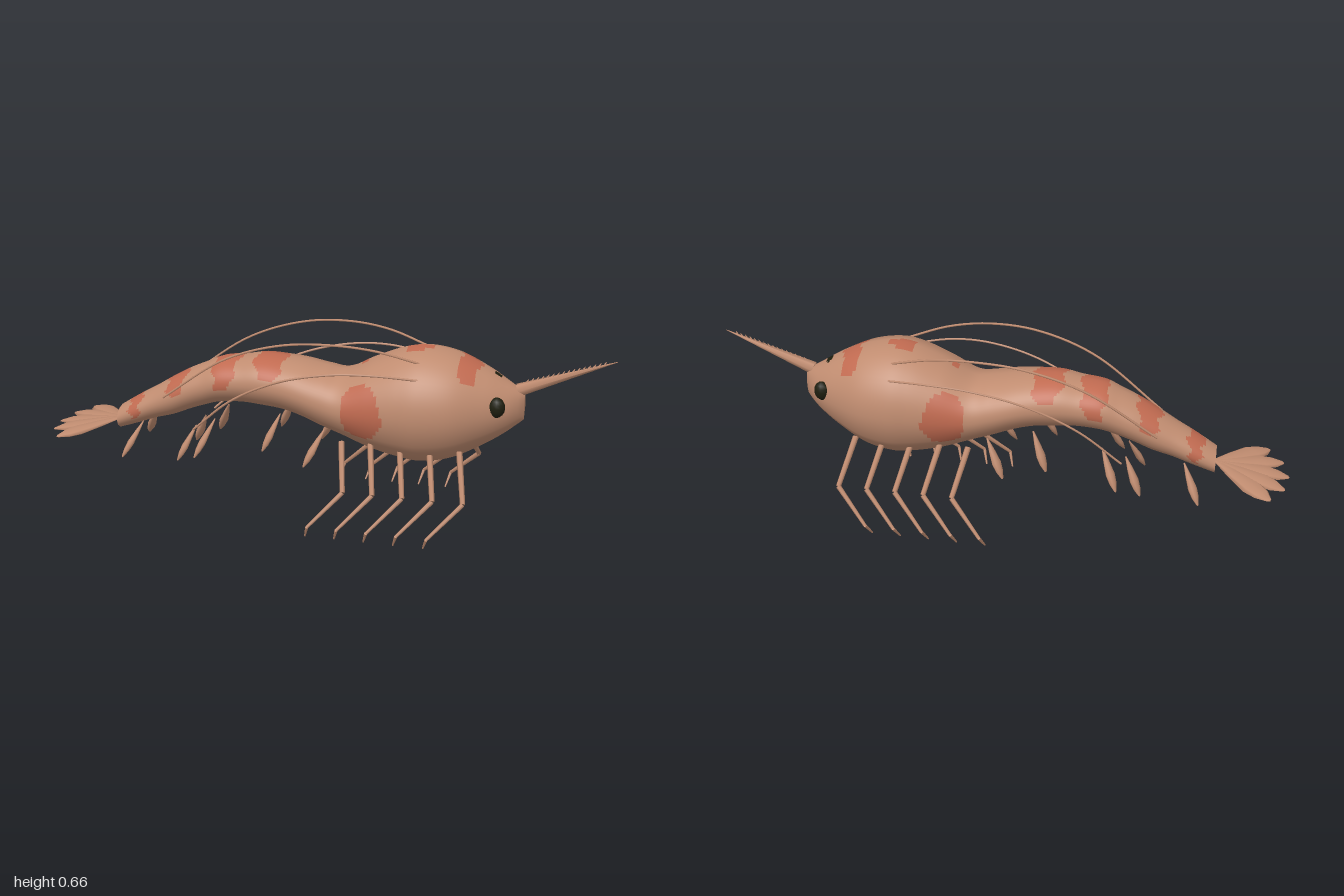
import * as THREE from 'three';

const V = (x, y, z) => new THREE.Vector3(x, y, z);
const mat = (name, color) => {
  const m = new THREE.MeshStandardMaterial({ color });
  m.name = name;
  return m;
};
const UP = V(0, 1, 0);

export function createModel() {
  const shell = mat('shell tan', 0xc08c70);
  const band = mat('band red', 0xc06a50);
  const dark = mat('eye black', 0x1e1e0f);
  const model = new THREE.Group();
  model.name = 'shrimp';

  const add = (name, geometry, material, parent = model) => {
    const m = new THREE.Mesh(geometry, material);
    m.name = name;
    parent.add(m);
    return m;
  };

  // Body stations: x, top, bottom, half width
  const stations = [
    [-0.745, 0.325, 0.24, 0.06], [-0.67, 0.372, 0.265, 0.07], [-0.6, 0.412, 0.29, 0.075],
    [-0.53, 0.455, 0.31, 0.085], [-0.47, 0.488, 0.335, 0.092], [-0.41, 0.515, 0.357, 0.097],
    [-0.35, 0.54, 0.375, 0.107], [-0.27, 0.55, 0.382, 0.113], [-0.2, 0.562, 0.378, 0.122],
    [-0.12, 0.558, 0.37, 0.13], [-0.05, 0.55, 0.352, 0.14], [0.03, 0.535, 0.32, 0.147],
    [0.1, 0.53, 0.295, 0.156], [0.2, 0.58, 0.255, 0.176], [0.3, 0.62, 0.23, 0.194],
    [0.38, 0.632, 0.222, 0.2], [0.48, 0.615, 0.243, 0.182], [0.58, 0.57, 0.295, 0.132],
    [0.65, 0.528, 0.342, 0.085], [0.69, 0.503, 0.375, 0.045], [0.71, 0.487, 0.393, 0.015],
  ];
  const track = k => new THREE.SplineCurve(stations.map(s => new THREE.Vector2(s[0], s[k])));
  const top = track(1), bottom = track(2), width = track(3);

  // Colour of the shell at a point; a is the angle down from the ridge in degrees
  const stripes = [[-0.70, -0.648, 115], [-0.55, -0.47, 85], [-0.37, -0.28, 105], [-0.22, -0.11, 72], [0.49, 0.56, 50]];
  const paint = (x, y, z, a) => {
    if (Math.hypot((x - 0.617) / 0.013, (z + 0.006) / 0.022) < 1 && y > 0.5) return 2;
    const wob = 0.008 * Math.sin(a * 0.11 + x * 9);
    for (const [x0, x1, reach] of stripes) {
      const taper = 0.25 * (x1 - x0) * (a / reach) ** 2;
      if (a < reach && x + wob > x0 + taper && x + wob < x1 - taper) return 1;
    }
    if (Math.hypot((x - 0.18) / 0.072, (y - 0.42) / 0.09) < 1 + wob * 8) return 1;
    if (x > 0.31 && x < 0.36 + 0.04 * Math.cos(z * 45) && Math.abs(z) < 0.035 + (x - 0.31) * 0.5) return 1;
    if (Math.hypot(x - 0.165, z) < 0.014 && a < 30) return 1;
    return 0;
  };

  // Body: rings of twelve flats with smooth normals
  const R = 180, N = 60, pos = [], flat = [];
  for (let i = 0; i <= R; i++) {
    const t = i / R, p = top.getPoint(t), b = bottom.getPoint(t).y, w = width.getPoint(t).y;
    for (let j = 0; j < N; j++) {
      const a = (j / N) * Math.PI * 2, step = Math.PI / 6;
      const k = Math.cos(step / 2) / Math.cos((a + 1e-9) % step - step / 2);
      const cy = (p.y + b) / 2, dy = Math.cos(a) * (p.y - b) / 2, dz = Math.sin(a) * w;
      pos.push(p.x, cy + dy, dz);
      flat.push(p.x, cy + dy * k, dz * k);
    }
  }
  pos.push(0.712, 0.44, 0);
  flat.push(0.712, 0.44, 0);
  const lists = [[], [], []];
  for (let i = 0; i < R; i++) {
    for (let j = 0; j < N; j++) {
      const a = i * N + j, b = i * N + (j + 1) % N, c = a + N, d = b + N;
      const mid = k => (flat[a * 3 + k] + flat[d * 3 + k]) / 2;
      const ang = (j + 0.5) / N * 360;
      lists[paint(mid(0), mid(1), mid(2), Math.min(ang, 360 - ang))].push(a, b, c, b, d, c);
    }
  }
  for (let j = 0; j < N; j++) lists[0].push(R * N + j, R * N + (j + 1) % N, pos.length / 3 - 1);
  const bodyGeo = new THREE.BufferGeometry();
  bodyGeo.setAttribute('position', new THREE.Float32BufferAttribute(pos, 3));
  bodyGeo.setIndex(lists.flat());
  bodyGeo.computeVertexNormals();
  bodyGeo.setAttribute('position', new THREE.Float32BufferAttribute(flat, 3));
  let start = 0;
  lists.forEach((l, k) => { bodyGeo.addGroup(start, l.length, k); start += l.length; });
  add('body', bodyGeo, [shell, band, dark]);

  const cap = add('bodyEnd', new THREE.CircleGeometry(1, 12), shell);
  cap.scale.set(0.06, 0.0425, 1);
  cap.rotation.y = -Math.PI / 2;
  cap.position.set(-0.745, 0.2825, 0);

  // Tapered rod between two points
  const rod = (name, a, b, r0, r1, sides, parent) => {
    const m = add(name, new THREE.CylinderGeometry(r1, r0, a.distanceTo(b), sides), shell, parent);
    m.position.copy(a).add(b).multiplyScalar(0.5);
    m.quaternion.setFromUnitVectors(UP, b.clone().sub(a).normalize());
    return m;
  };

  // Rostrum with a row of fine teeth
  const r0 = V(0.685, 0.495, 0), r1 = V(1, 0.617, 0);
  rod('rostrum', r0, r1, 0.023, 0.001, 6);
  for (let i = 0; i < 16; i++) {
    const t = 0.1 + i * 0.052;
    const p = r0.clone().lerp(r1, t).add(V(-0.003, 0.021 * (1 - t), 0));
    rod('rostrumTooth', p, p.clone().add(V(0.005, 0.01, 0)), 0.004, 0.0005, 4);
  }

  // Leaf-shaped blade from a to b, widest at the given fraction
  const blade = (name, a, b, halfWidth, thick, peak, side, parent) => {
    const len = a.distanceTo(b);
    const pts = [[0.15, 0], [0.65, peak * 0.5], [1, peak], [0.8, (1 + peak) / 2], [0.25, 0.98], [0, 1]];
    const g = new THREE.LatheGeometry(pts.map(([r, t]) => new THREE.Vector2(r, t * len)), 8);
    const yAxis = b.clone().sub(a).normalize();
    const zAxis = side.clone().cross(yAxis).normalize();
    const xAxis = yAxis.clone().cross(zAxis);
    const m = add(name, g.scale(halfWidth, 1, thick), shell, parent);
    m.quaternion.setFromRotationMatrix(new THREE.Matrix4().makeBasis(xAxis, yAxis, zAxis));
    m.position.copy(a);
  };

  // Tail fan
  for (let i = -2; i <= 2; i++) {
    const a = i * 0.37, len = 0.255;
    blade('tailBlade', V(-0.742, 0.277, 0),
      V(-0.745 - Math.cos(a) * len, 0.236 + Math.abs(i) * 0.003, Math.sin(a) * len),
      0.042, 0.01, 0.68, V(Math.sin(a), 0, Math.cos(a)));
  }

  // Swimmerets: base, tip
  const swimmerets = [
    [-0.64, 0.29, 0.06, -0.70, 0.17, 0.135], [-0.44, 0.29, 0.055, -0.5, 0.165, 0.105],
    [-0.36, 0.33, 0.08, -0.42, 0.2, 0.15], [-0.12, 0.37, 0.08, -0.175, 0.24, 0.13],
    [0.04, 0.33, 0.09, -0.025, 0.2, 0.14],
  ];

  for (const s of [1, -1]) {
    const side = new THREE.Group();
    side.name = s > 0 ? 'nearSide' : 'farSide';
    model.add(side);

    const eye = add('eye', new THREE.SphereGeometry(1, 12, 8), dark, side);
    eye.scale.set(0.028, 0.035, 0.023);
    eye.position.set(0.625, 0.461, 0.097 * s);

    // Five walking legs
    for (let i = 0; i < 5; i++) {
      const dx = -0.1015 * i;
      const j = [[0.51, 0.295, 0.107], [0.543, 0.162, 0.235], [0.435, 0.05, 0.295], [0.42, 0.002, 0.264]]
        .map(([x, y, z]) => V(x + dx, y, z * s));
      const leg = new THREE.Group();
      leg.name = 'walkingLeg';
      side.add(leg);
      rod('upperLeg', j[0], j[1], 0.011, 0.009, 6, leg);
      rod('lowerLeg', j[1], j[2], 0.009, 0.006, 6, leg);
      rod('foot', j[2], j[3], 0.006, 0.003, 6, leg);
    }

    for (const [x, y, z, tx, ty, tz] of swimmerets)
      blade('swimmeret', V(x, y, z * s), V(tx, ty, tz * s), 0.02, 0.012, 0.6, V(0.5, 0, s));

    // Two swept-back feelers
    const feelers = [
      [[0.375, 0.592, 0.103], [0.22, 0.637, 0.137], [0.07, 0.652, 0.155], [-0.1, 0.638, 0.155], [-0.3, 0.57, 0.14], [-0.545, 0.4, 0.1]],
      [[0.37, 0.55, 0.148], [0.22, 0.566, 0.183], [0.08, 0.56, 0.19], [-0.1, 0.517, 0.178], [-0.28, 0.425, 0.15], [-0.43, 0.295, 0.115]],
    ];
    for (const f of feelers) {
      const curve = new THREE.CatmullRomCurve3(f.map(([x, y, z]) => V(x, y, z * s)));
      add('feeler', new THREE.TubeGeometry(curve, 32, 0.004, 6), shell, side);
    }
  }
  return model;
}
